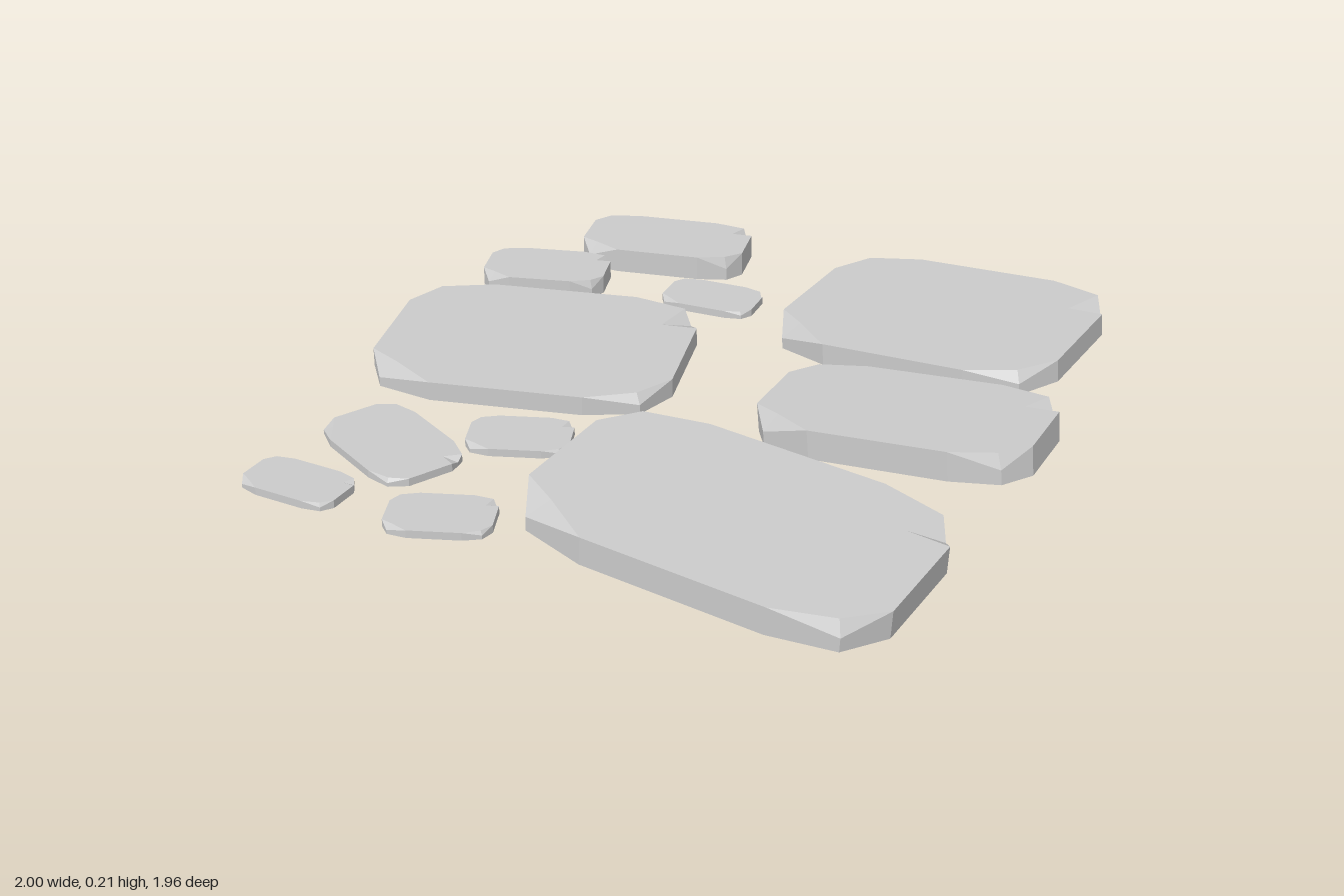
import * as THREE from 'three';

const material = new THREE.MeshStandardMaterial({ color: 0xcccccc, flatShading: true });

// Unit slab outline, clockwise from above as [x, z].
// A four-number entry is a chipped corner: [x, z, apexX, apexZ].
const outline = [
  [-.85, -.86], [-.5, -1], [.5, -1], [.86, -.85], [.93, -.68, .76, -.49], [1, -.48], [1, .52],
  [.85, .88, .82, .82], [.5, 1], [-.5, 1], [-.87, .84, -.79, .68], [-1, .48], [-1, -.52],
];

// One chipped slab, spanning -1..1 across and -0.5..0.5 in height
function slabGeometry() {
  const bottom = outline.map(([x, z]) => new THREE.Vector3(x, -.5, z));
  // The rim dips at a chip while the top face recedes to the chip's apex
  const rim = outline.map((p) => new THREE.Vector3(p[0], p.length > 2 ? 0 : .5, p[1]));
  const top = outline.map((p) => new THREE.Vector3(p.at(-2), .5, p.at(-1)));
  const points = [];
  const tri = (a, b, c) => {
    if (!a.equals(b) && !b.equals(c) && !c.equals(a)) points.push(a, b, c);
  };

  // Side walls, then chip facets
  outline.forEach((_, i) => {
    const j = (i + 1) % outline.length;
    for (const [lo, hi] of [[bottom, rim], [rim, top]]) {
      tri(lo[j], lo[i], hi[i]);
      tri(lo[j], hi[i], hi[j]);
    }
  });

  // Flat caps, wound to face up or down
  for (const [ring, up] of [[top, 1], [bottom, -1]]) {
    const flat = ring.map((v) => new THREE.Vector2(v.x, v.z));
    for (const [a, b, c] of THREE.ShapeUtils.triangulateShape(flat, [])) {
      const area = THREE.ShapeUtils.area([flat[a], flat[b], flat[c]]);
      if (area * up < 0) tri(ring[a], ring[b], ring[c]);
      else tri(ring[a], ring[c], ring[b]);
    }
  }
  const geometry = new THREE.BufferGeometry().setFromPoints(points);
  geometry.computeVertexNormals();
  return geometry;
}

export function createModel() {
  const group = new THREE.Group();
  group.name = 'steppingStones';
  const geometry = slabGeometry();

  // Half sizes, centre, turn in degrees, thickness, then slope along x and z
  const addStone = (name, halfX, halfZ, [x, y, z], turn, thick, slopeX = 0, slopeZ = 0) => {
    const mesh = new THREE.Mesh(geometry, material);
    mesh.name = name;
    mesh.scale.set(halfX, thick, halfZ);
    mesh.position.set(x, y, z);
    mesh.rotation.set(-Math.atan(slopeZ), -THREE.MathUtils.degToRad(turn), Math.atan(slopeX), 'XZY');
    group.add(mesh);
  };

  // Large slabs
  addStone('largeSlabBackLeft', .434, .328, [.50, .119, -.596], 8, .065, .07);
  addStone('mediumSlabLeft', .392, .208, [.597, .127, .037], 4.4, .085, .085, .01);
  addStone('largeSlabFrontLeft', .517, .322, [.335, .074, .615], 7.5, .08, -.065, -.025);
  addStone('largeSlabRight', .437, .326, [-.543, .092, -.053], -10.5, .055);

  // Thick stones at the back right
  addStone('mediumStoneBackRight', .255, .135, [-.465, .097, -.83], -8.7, .073);
  addStone('smallStoneBackRight', .187, .11, [-.738, .09, -.528], -13, .055);

  // Thin filler pebbles
  addStone('pebbleBack', .145, .09, [-.21, .076, -.575], 0, .022);
  addStone('pebbleFrontInner', .141, .093, [-.362, .076, .42], -17, .022);
  addStone('pebbleFrontOuter', .141, .093, [-.362, .076, .868], -17, .022);
  addStone('smallStoneFrontRight', .205, .13, [-.66, .076, .585], 31, .022);
  addStone('pebbleFrontCorner', .145, .085, [-.782, .076, .86], 5.5, .022);

  return group;
}
